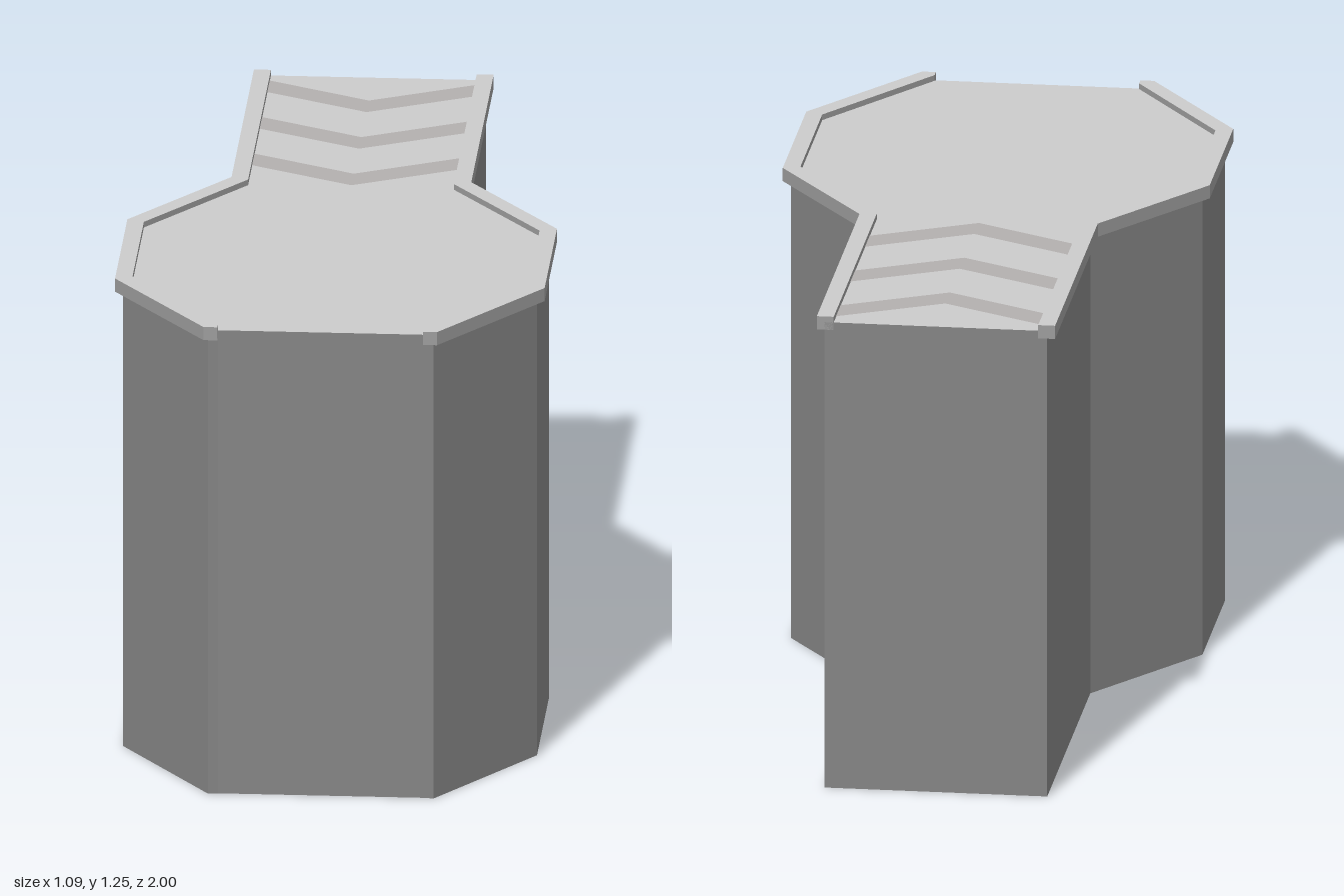
import * as THREE from 'three';

const FLOOR_Y = 1.235, CURB_Y = 1.215, CURB_H = 0.035;
const WALL = 0x848484, CURB_SIDE = 0x9c9c9c, CURB_TOP = 0xcccccc, FLOOR = 0xc4c1c0, BAND = 0xb3b0af;

// Plan outlines of the +x half, as [x, z]
const curbOuter = [[0.303, -1], [0.303, -0.165], [0.543, 0.18], [0.543, 0.64], [0.295, 1]];
const curbInner = [[0.26, 1], [0.26, 0.975], [0.5, 0.622], [0.5, 0.197], [0.26, -0.148], [0.26, -1]];
const wallLine = [[0.283, -1], [0.283, -0.157], [0.523, 0.19], [0.523, 0.63], [0.285, 0.983], [0.26, 0.979]];

// Mirror in x, reversed so the faces keep pointing outward
const mirror = (pts) => pts.map(([x, z]) => [-x, z]).reverse();

function mesh(name, geometry, color, side) {
  const m = new THREE.Mesh(geometry, new THREE.MeshStandardMaterial({ color, side, flatShading: true }));
  m.name = name;
  return m;
}

// Flat horizontal panel
function panel(name, pts, y, color) {
  const shape = new THREE.Shape(pts.map(([x, z]) => new THREE.Vector2(x, -z)));
  const m = mesh(name, new THREE.ShapeGeometry(shape).rotateX(-Math.PI / 2), color, THREE.DoubleSide);
  m.position.y = y;
  return m;
}

// Upright skirt along a closed plan outline, open above and below
function skirt(name, pts, y, height, color) {
  const pos = [];
  pts.forEach(([ax, az], i) => {
    const [bx, bz] = pts[(i + 1) % pts.length];
    pos.push(ax, 0, az, bx, height, bz, bx, 0, bz);
    pos.push(ax, 0, az, ax, height, az, bx, height, bz);
  });
  const g = new THREE.BufferGeometry();
  g.setAttribute('position', new THREE.Float32BufferAttribute(pos, 3));
  g.computeVertexNormals();
  const m = mesh(name, g, color, THREE.DoubleSide);
  m.position.y = y;
  return m;
}

// Raised curb: light top, darker sides and underside
function curb(name, pts) {
  const g = new THREE.Group();
  g.name = name;
  g.add(
    panel(name + 'Top', pts, CURB_Y + CURB_H, CURB_TOP),
    skirt(name + 'Sides', pts, CURB_Y, CURB_H, CURB_SIDE),
    panel(name + 'Underside', pts, CURB_Y, CURB_SIDE),
  );
  return g;
}

export function createModel() {
  const group = new THREE.Group();
  group.name = 'raisedTrackPiece';

  // Outer walls, hollow and open at the bottom, with the floor on top
  const outline = [...wallLine, ...mirror(wallLine)];
  group.add(skirt('walls', outline, 0, FLOOR_Y, WALL));
  group.add(panel('floor', outline, FLOOR_Y, FLOOR));

  // Curbs overhanging the walls on both sides
  const curbLine = [...curbOuter, ...curbInner];
  group.add(curb('leftCurb', curbLine), curb('rightCurb', mirror(curbLine)));

  // Three arrow bands on the narrow lane
  for (let i = 0; i < 3; i++) {
    const z = -0.955 + i * 0.284;
    const band = [[-0.26, z], [0, z + 0.138], [0.26, z], [0.26, z + 0.09], [0, z + 0.228], [-0.26, z + 0.09]];
    group.add(panel('chevron' + (i + 1), band, FLOOR_Y + 0.002, BAND));
  }
  return group;
}
